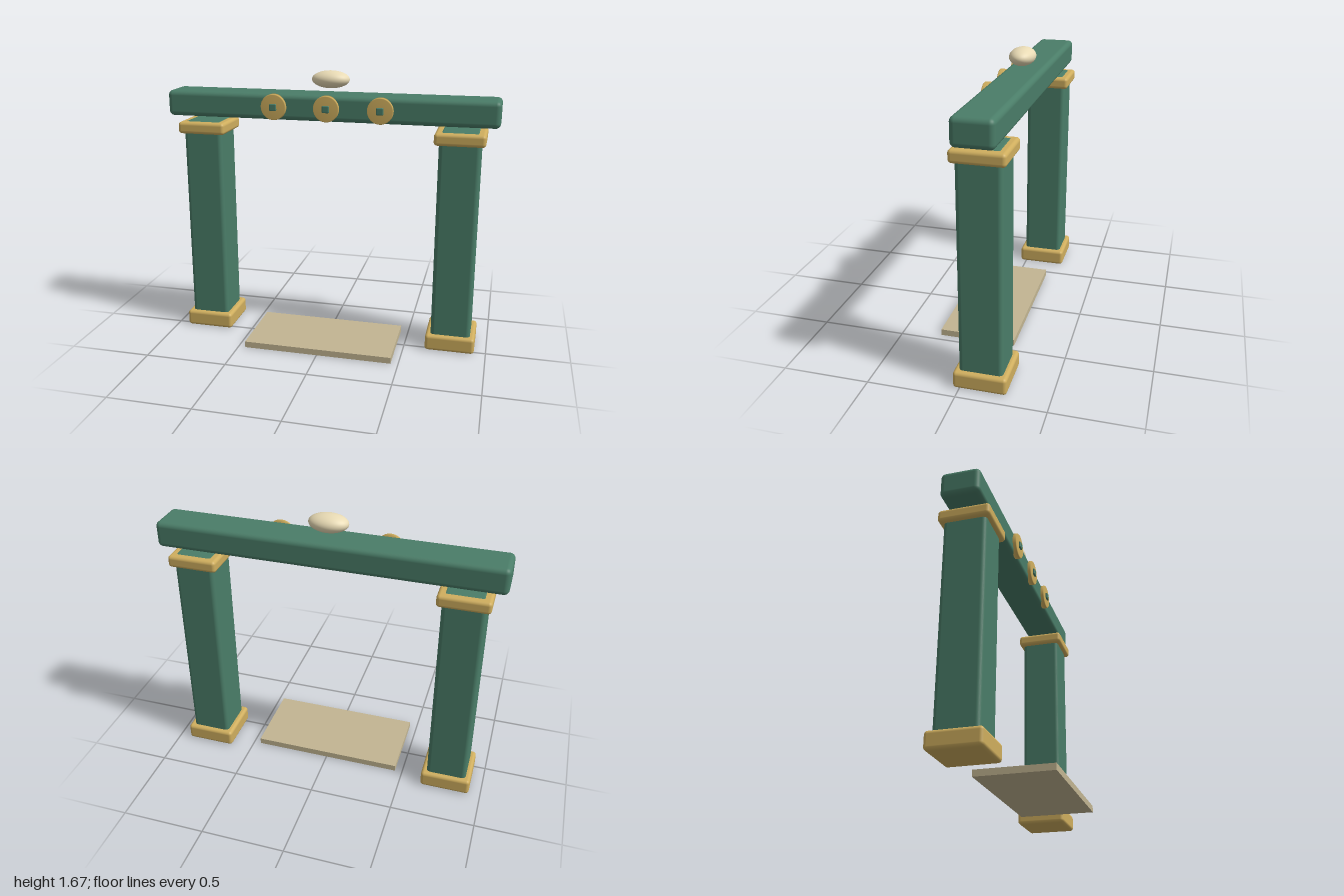
import * as THREE from 'three';
import { RoundedBoxGeometry } from 'three/addons/geometries/RoundedBoxGeometry.js';

const material = (color) => new THREE.MeshStandardMaterial({ color });

export function createModel() {
  const model = new THREE.Group();
  model.name = 'gateway';
  const green = material(0x4a7d68);
  const gold = material(0xcfae5e);
  const cream = material(0xe8dab4);
  const stone = material(0xc2b592);
  const axisZ = -0.113; // centre line of pillars and beam

  const add = (parent, name, geometry, mat, x, y, z) => {
    const mesh = new THREE.Mesh(geometry, mat);
    mesh.name = name;
    mesh.position.set(x, y, z);
    parent.add(mesh);
    return mesh;
  };
  const rounded = (w, h, d, r) => new RoundedBoxGeometry(w, h, d, 4, r);

  // Pillars with a gold base and capital
  for (const [side, s] of [['left', 1], ['right', -1]]) {
    const pillar = new THREE.Group();
    pillar.name = side + 'Pillar';
    pillar.position.set(s * 0.78, 0, axisZ);
    add(pillar, 'shaft', rounded(0.24, 1.355, 0.245, 0.025), green, 0, 0.6785, 0);
    add(pillar, 'base', rounded(0.3, 0.1, 0.3, 0.02), gold, 0, 0.05, 0);
    add(pillar, 'capital', rounded(0.295, 0.072, 0.295, 0.02), gold, 0, 1.318, 0);
    model.add(pillar);
  }

  // Crossbeam
  add(model, 'beam', rounded(2, 0.155, 0.226, 0.03), green, 0, 1.463, axisZ);

  // Three round medallions with square centres on the beam front
  const discProfile = [[0, -0.012], [0.077, -0.012], [0.077, 0.017], [0.072, 0.022], [0, 0.022]]
    .map(([r, y]) => new THREE.Vector2(r, y));
  for (const x of [-0.32, 0, 0.32]) {
    const medallion = new THREE.Group();
    medallion.name = 'medallion';
    medallion.position.set(x, 1.465, 0);
    const disc = add(medallion, 'disc', new THREE.LatheGeometry(discProfile, 40), gold, 0, 0, 0);
    disc.rotation.x = Math.PI / 2;
    add(medallion, 'squareStud', rounded(0.042, 0.042, 0.03, 0.006), green, 0, 0, 0.018);
    model.add(medallion);
  }

  // Oval finial floating above the beam
  const finial = add(model, 'finial', new THREE.SphereGeometry(1, 40, 24), cream, 0, 1.623, axisZ);
  finial.scale.set(0.114, 0.052, 0.075);

  // Threshold slab between the pillars
  add(model, 'threshold', new THREE.BoxGeometry(0.91, 0.038, 0.45), stone, 0, 0.021, 0.039);

  return model;
}
